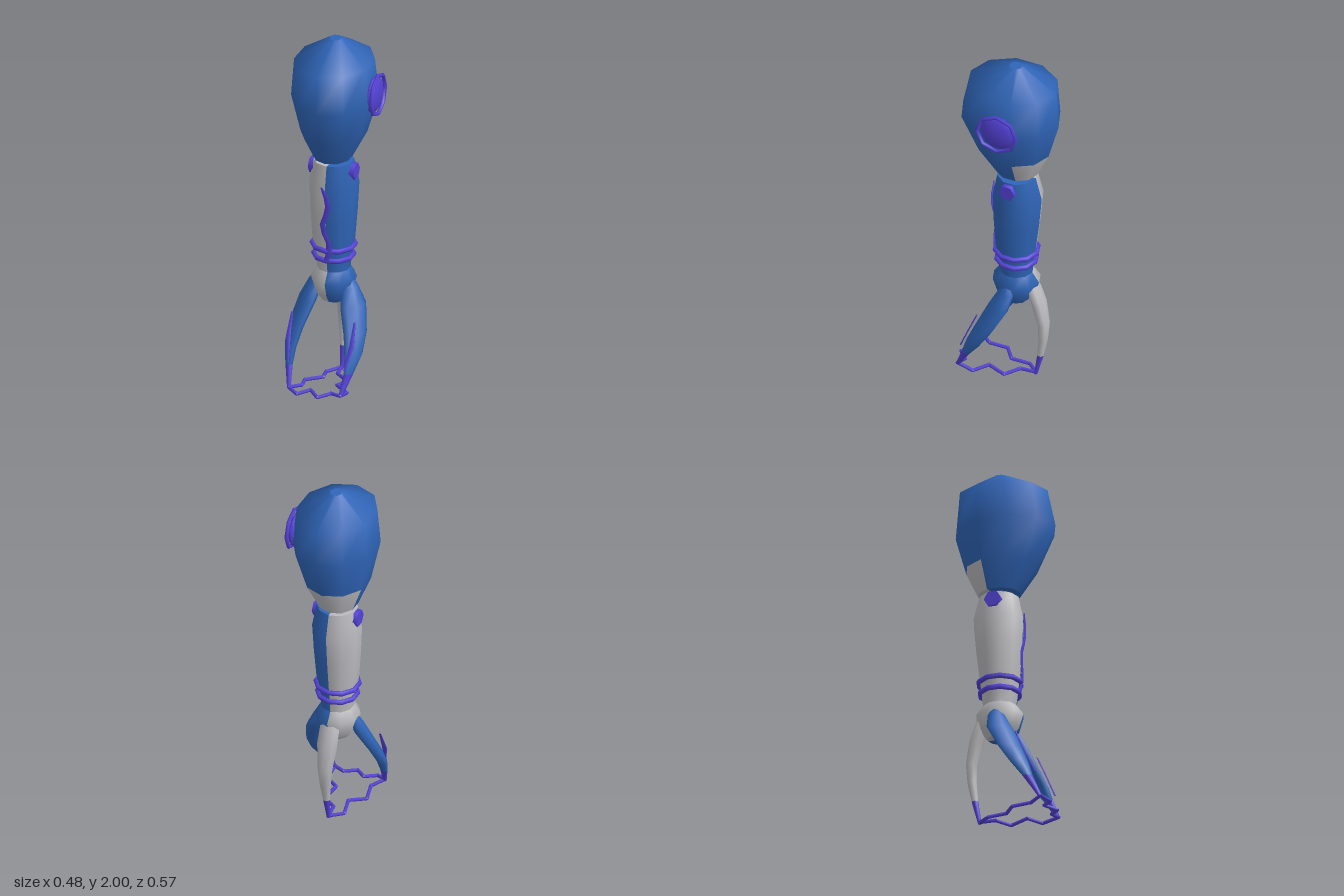
import * as THREE from 'three';

const CX = -0.03, CZ = -0.037; // vertical axis of the arm

function mat(name, color) {
  const m = new THREE.MeshStandardMaterial({ color });
  m.name = name;
  return m;
}

// Skin over horizontal elliptical rings [x, y, z, rx, rz], listed bottom to top.
// pick(side, band) gives the material index of each face; turn rotates the ellipses.
function loft(name, rings, sides, materials, { turn = 0, pick = () => 0 } = {}) {
  const pos = [], lists = materials.map(() => []);
  const addRing = ([x, y, z, rx, rz]) => {
    for (let k = 0; k < sides; k++) {
      const t = (k / sides) * Math.PI * 2, u = rx * Math.sin(t), v = rz * Math.cos(t);
      pos.push(x + u * Math.cos(turn) + v * Math.sin(turn), y, z - u * Math.sin(turn) + v * Math.cos(turn));
    }
  };
  rings.forEach(addRing);
  for (let j = 0; j < rings.length - 1; j++) {
    for (let k = 0; k < sides; k++) {
      const a = j * sides + k, b = j * sides + (k + 1) % sides;
      lists[pick(k, j)].push(a, b, b + sides, a, b + sides, a + sides);
    }
  }
  // End caps with their own vertices, so the rims stay sharp
  [[0, true], [rings.length - 1, false]].forEach(([j, under]) => {
    const start = pos.length / 3;
    addRing(rings[j]);
    pos.push(rings[j][0], rings[j][1], rings[j][2]);
    const mid = start + sides;
    for (let k = 0; k < sides; k++) {
      const a = start + k, b = start + (k + 1) % sides;
      lists[pick(k, Math.max(0, j - 1))].push(mid, under ? b : a, under ? a : b);
    }
  });
  const g = new THREE.BufferGeometry();
  g.setAttribute('position', new THREE.Float32BufferAttribute(pos, 3));
  g.setIndex(lists.flat());
  let from = 0;
  lists.forEach((l, i) => { g.addGroup(from, l.length, i); from += l.length; });
  g.computeVertexNormals();
  const mesh = new THREE.Mesh(g, materials);
  mesh.name = name;
  return mesh;
}

export function createModel() {
  const model = new THREE.Group();
  model.name = 'clawArm';
  const blue = mat('blue', 0x2f65b8), grey = mat('light grey', 0xbcbcc0), purple = mat('purple', 0x5442d8);
  const add = (name, geo, m) => {
    const mesh = new THREE.Mesh(geo, m);
    mesh.name = name;
    model.add(mesh);
    return mesh;
  };
  const halfGrey = { pick: (k) => (k >= 5 ? 1 : 0) };

  // Bulb-shaped shoulder with a grey patch at the lower back
  model.add(loft('shoulder', [
    [-0.035, 1.31, -0.038, 0.103, 0.115],
    [-0.025, 1.46, -0.027, 0.173, 0.197],
    [-0.012, 1.68, -0.012, 0.226, 0.276],
    [-0.02, 1.885, -0.022, 0.208, 0.245],
    [-0.02, 2.0, -0.037, 0.032, 0.035],
  ], 10, [blue, grey], { pick: (k, j) => (j === 0 && k >= 3 && k <= 6 ? 1 : 0) }));

  // Neck joint
  add('neck', new THREE.CylinderGeometry(0.07, 0.07, 0.06, 10), blue).position.set(CX, 1.3, CZ);

  // Forearm, its right half grey
  model.add(loft('forearm', [
    [CX, 0.66, CZ, 0.088, 0.09],
    [CX, 0.72, CZ, 0.092, 0.098],
    [CX, 0.84, CZ, 0.113, 0.112],
    [CX, 1.0, CZ - 0.004, 0.124, 0.127],
    [CX, 1.16, CZ - 0.008, 0.131, 0.137],
    [CX, 1.29, CZ - 0.004, 0.108, 0.107],
  ], 10, [blue, grey], halfGrey));

  // Palm
  model.add(loft('palm', [
    [CX, 0.48, CZ, 0.065, 0.065],
    [CX, 0.53, CZ, 0.1, 0.105],
    [CX, 0.61, CZ, 0.12, 0.13],
    [CX, 0.67, CZ, 0.085, 0.088],
  ], 10, [blue, grey], halfGrey));

  // Wrist rings
  [[0.8, 0.114], [0.74, 0.106]].forEach(([y, r]) => {
    const ring = add('wristRing', new THREE.TorusGeometry(r, 0.014, 6, 10), purple);
    ring.rotation.set(Math.PI / 2, 0, Math.PI / 2);
    ring.position.set(CX, y, CZ);
  });

  // Elbow bolts
  for (const s of [-1, 1]) {
    const bolt = add('elbowBolt', new THREE.CylinderGeometry(0.046, 0.05, 0.05, 6), purple);
    bolt.rotation.set(0, 0, -s * Math.PI / 2);
    bolt.position.set(CX + s * 0.104, 1.24, CZ);
  }

  // Round badge on the shoulder: dome and octagonal rim
  const dome = add('badgeDome', new THREE.SphereGeometry(0.1, 12, 8), purple);
  dome.scale.x = 0.3;
  dome.position.set(0.2, 1.71, CZ);
  const rim = add('badgeRim', new THREE.TorusGeometry(0.111, 0.011, 5, 8), purple);
  rim.rotation.y = Math.PI / 2 + 0.04;
  rim.position.set(0.219, 1.71, CZ);

  // Wavy stripe down the forearm
  const wave = [-0.03, -0.012, -0.012, -0.035, -0.045, -0.025, -0.012, -0.02, -0.045];
  model.add(loft('waveStripe', wave.map((x, i) => {
    const y = 0.74 + i * 0.055;
    return [x, y, 0.075 + (y - 0.74) * 0.06, i === 8 ? 0.006 : 0.016, 0.004];
  }), 6, [purple]));

  // Front fingers, mirrored about the arm axis
  const frontFinger = [
    [0.115, 0.05, 0.235, 0.012, 0.01],
    [0.138, 0.165, 0.175, 0.03, 0.02],
    [0.147, 0.25, 0.13, 0.055, 0.028],
    [0.135, 0.35, 0.075, 0.07, 0.034],
    [0.098, 0.48, 0.01, 0.078, 0.04],
    [0.065, 0.57, -0.022, 0.05, 0.04],
    [0.055, 0.62, -0.03, 0.02, 0.02],
  ];
  const stripe = [
    [0.128, 0.19, 0.213, 0.006, 0.004],
    [0.148, 0.31, 0.161, 0.015, 0.004],
    [0.146, 0.43, 0.11, 0.006, 0.004],
  ];
  for (const s of [1, -1]) {
    const side = (list) => list.map(([x, ...rest]) => [CX + s * (x - CX), ...rest]);
    const turn = s * 0.9, rings = side(frontFinger);
    model.add(loft('frontFinger', rings.slice(1), 8, [blue], { turn }));
    model.add(loft('frontFingertip', rings.slice(0, 2), 8, [purple], { turn }));
    model.add(loft('fingerStripe', side(stripe), 6, [purple]));
  }

  // Back finger
  const backFinger = [
    [CX, 0.01, -0.148, 0.011, 0.01],
    [CX, 0.14, -0.175, 0.019, 0.018],
    [CX, 0.25, -0.191, 0.033, 0.025],
    [CX, 0.35, -0.195, 0.043, 0.029],
    [CX, 0.48, -0.168, 0.057, 0.034],
    [CX, 0.57, -0.135, 0.055, 0.034],
    [CX, 0.62, -0.12, 0.03, 0.025],
  ];
  model.add(loft('backFinger', backFinger.slice(1), 8, [grey]));
  model.add(loft('backFingertip', backFinger.slice(0, 2), 8, [purple]));

  // Zigzag strands linking the fingertips
  const tips = [[-0.175, 0.055, 0.238], [0.115, 0.055, 0.238], [CX, 0.02, -0.148]].map((p) => new THREE.Vector3(...p));
  tips.forEach((a, i) => {
    const b = tips[(i + 1) % 3];
    const d = b.clone().sub(a).normalize();
    const out = new THREE.Vector3(-d.z, 0, d.x);
    const path = new THREE.CurvePath();
    const pts = [0, 0.2, 0.4, 0.6, 0.8, 1].map((t, k) => {
      const p = a.clone().lerp(b, t);
      if (k > 0 && k < 5) {
        p.addScaledVector(out, k % 2 ? 0.034 : -0.02);
        p.y -= k % 2 ? 0.014 : 0.004;
      }
      return p;
    });
    for (let k = 0; k < 5; k++) path.add(new THREE.LineCurve3(pts[k], pts[k + 1]));
    path.curves.forEach((c) => add('strand', new THREE.TubeGeometry(c, 1, 0.01, 5), purple));
    pts.forEach((p) => add('strandJoint', new THREE.IcosahedronGeometry(0.0105, 0), purple).position.copy(p));
  });

  return model;
}
